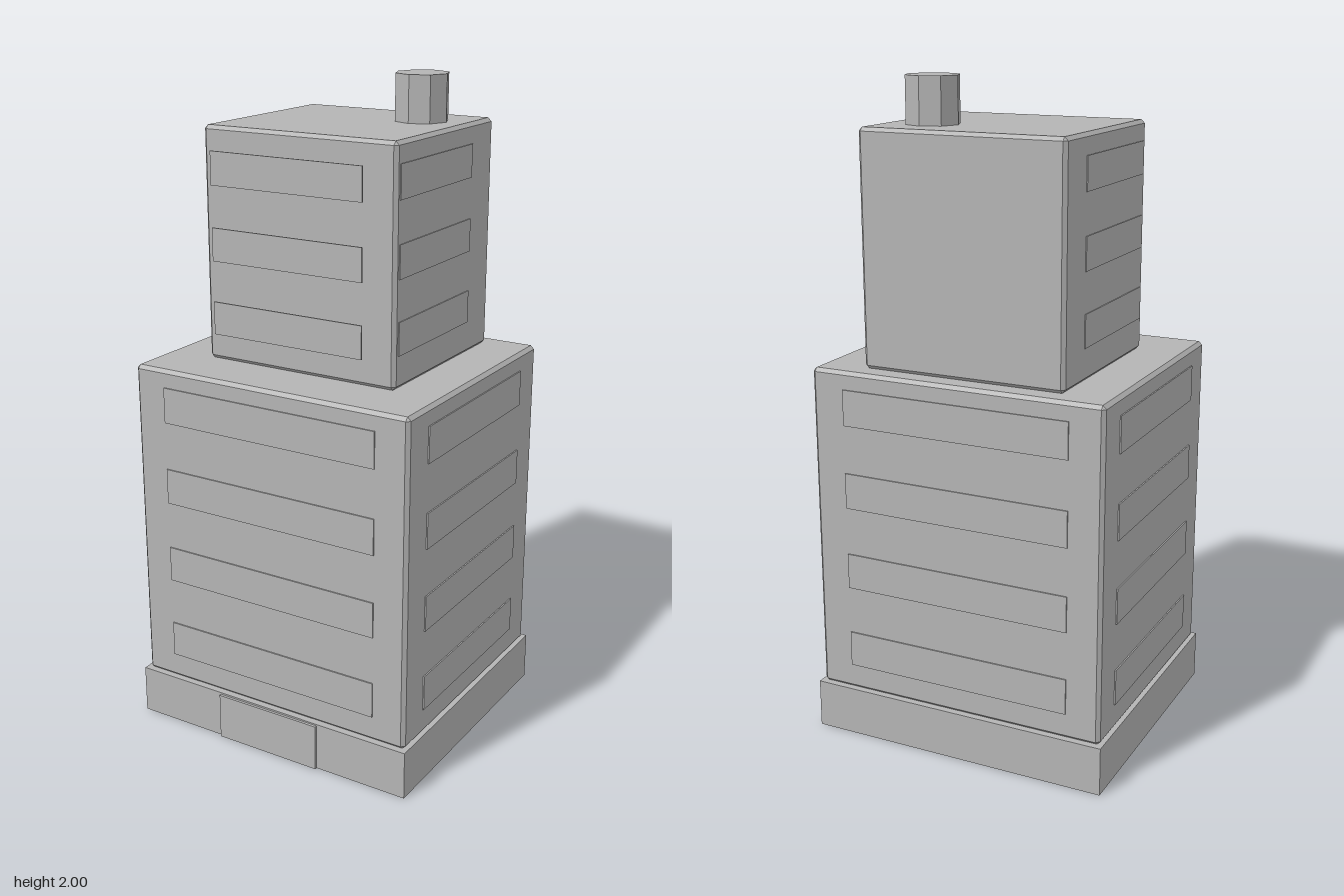
import * as THREE from 'three';
import { ConvexGeometry } from 'three/addons/geometries/ConvexGeometry.js';

// Box with chamfered edges: each corner becomes a small triangle
function chamferBox(w, h, d, c) {
  const points = [];
  for (const sx of [-1, 1]) for (const sy of [-1, 1]) for (const sz of [-1, 1]) {
    const x = w / 2, y = h / 2, z = d / 2;
    points.push(
      new THREE.Vector3(sx * x, sy * (y - c), sz * (z - c)),
      new THREE.Vector3(sx * (x - c), sy * y, sz * (z - c)),
      new THREE.Vector3(sx * (x - c), sy * (y - c), sz * z));
  }
  return new ConvexGeometry(points);
}

export function createModel() {
  const model = new THREE.Group();
  model.name = 'towerBlock';
  const concrete = new THREE.MeshStandardMaterial({ color: 0xb4b4b4 });
  concrete.name = 'concreteGrey';

  const add = (name, geometry, x, y, z) => {
    const mesh = new THREE.Mesh(geometry, concrete);
    mesh.name = name;
    mesh.position.set(x, y, z);
    model.add(mesh);
    return mesh;
  };
  const axisZ = -0.006; // shared centre line of plinth, lower block and windows

  // Plinth and entrance
  add('plinth', new THREE.BoxGeometry(0.95, 0.15, 0.838), 0, 0.075, axisZ);
  add('door', new THREE.BoxGeometry(0.35, 0.145, 0.02), 0, 0.0725, 0.411);

  // Two stacked blocks
  add('lowerBlock', chamferBox(0.93, 1.017, 0.812, 0.011), 0, 0.6565, axisZ);
  add('upperBlock', chamferBox(0.64, 0.697, 0.58, 0.011), 0, 1.5135, -0.065);

  // Lower window bands on all four sides
  for (const y of [0.283, 0.54, 0.797, 1.055]) {
    for (const s of [-1, 1]) {
      add('lowerWindowBand', new THREE.BoxGeometry(0.72, 0.11, 0.008), 0, y, axisZ + s * 0.406);
      add('lowerSideWindowBand', new THREE.BoxGeometry(0.008, 0.11, 0.59), s * 0.465, y, axisZ);
    }
  }

  // Upper window bands: the front ones stand clear of the wall
  for (const y of [1.313, 1.532, 1.752]) {
    add('upperFrontWindowBand', new THREE.BoxGeometry(0.5, 0.098, 0.005), 0, y, 0.287);
    for (const s of [-1, 1]) {
      add('upperSideWindowBand', new THREE.BoxGeometry(0.006, 0.098, 0.424), s * 0.32, y, axisZ);
    }
  }

  // Octagonal chimney with faceted sides
  const chimney = new THREE.CylinderGeometry(0.081, 0.081, 0.15, 8).toNonIndexed();
  chimney.computeVertexNormals();
  add('chimney', chimney, 0.173, 1.925, -0.18);

  return model;
}
